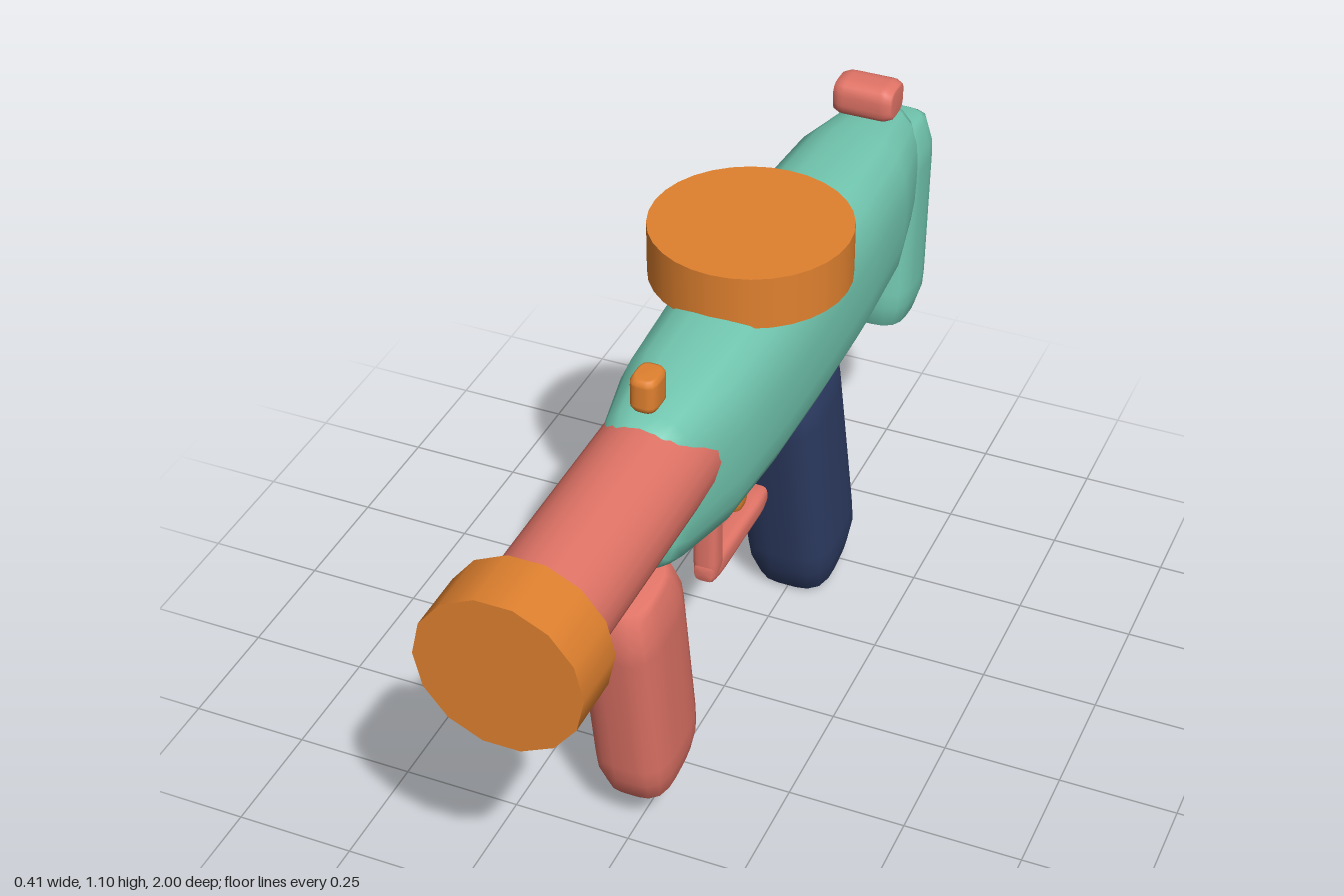
import * as THREE from 'three';

const material = (name, color) => {
  const m = new THREE.MeshStandardMaterial({ color });
  m.name = name;
  return m;
};

// Half of a lengthwise profile: [position, width scale, depth scale], end to middle
const BLOCK = [[1, 0.72, 0.7], [0.965, 0.83, 0.87], [0.76, 0.98, 0.99], [0.6, 1, 1]];
const BODY = [[1, 0.43, 0.7], [0.98, 0.57, 0.77], [0.93, 0.68, 0.83], [0.68, 0.91, 0.945], [0.35, 0.985, 0.99], [0, 1, 1]];

// Soft block along y: superellipse rings closed with end fans; w, h, d are half sizes
function softBlock(w, h, d, half = BLOCK, power = 3.5, sides = 24) {
  const mirrored = half.filter(r => r[0] > 0).reverse().map(([t, a, b]) => [-t, a, b]);
  const rings = [...half, ...mirrored].reverse();
  const pos = [], index = [];
  for (const [t, a, b] of rings) {
    for (let i = 0; i < sides; i++) {
      const u = (i / sides) * Math.PI * 2;
      const c = Math.cos(u), s = Math.sin(u);
      const r = Math.pow(Math.abs(c) ** power + Math.abs(s) ** power, -1 / power);
      pos.push(w * a * c * r, h * t, d * b * s * r);
    }
  }
  const last = (rings.length - 1) * sides;
  const bottom = pos.length / 3, top = bottom + 1;
  pos.push(0, -h, 0, 0, h, 0);
  for (let i = 0; i < sides; i++) {
    const j = (i + 1) % sides;
    for (let k = 0; k < last; k += sides) {
      index.push(k + i, k + sides + i, k + j, k + j, k + sides + i, k + sides + j);
    }
    index.push(bottom, i, j, top, last + j, last + i);
  }
  const g = new THREE.BufferGeometry();
  g.setAttribute('position', new THREE.Float32BufferAttribute(pos, 3));
  g.setIndex(index);
  g.computeVertexNormals();
  return g;
}

export function createModel() {
  const model = new THREE.Group();
  model.name = 'toyBlaster';
  const teal = material('teal', 0x72c7b0);
  const coral = material('coral', 0xe27467);
  const orange = material('orange', 0xe0812f);
  const navy = material('navy', 0x2f3e66);

  const add = (name, geometry, mat, y, z, tilt = 0) => {
    const mesh = new THREE.Mesh(geometry, mat);
    mesh.name = name;
    mesh.position.set(0, y, z);
    mesh.rotation.x = THREE.MathUtils.degToRad(tilt);
    model.add(mesh);
  };

  // Main body, its ends leaning slightly backward
  const body = softBlock(0.148, 0.654, 0.197, BODY, 3).rotateX(Math.PI / 2);
  const p = body.attributes.position;
  for (let i = 0; i < p.count; i++) p.setZ(i, p.getZ(i) - 0.1 * p.getY(i));
  body.computeVertexNormals();
  add('body', body, teal, 0.815, -0.226);
  add('shoulderStock', softBlock(0.096, 0.243, 0.095), teal, 0.672, -0.897, -3);

  // Barrel and muzzle cap
  add('barrel', new THREE.CylinderGeometry(0.118, 0.118, 0.75, 24), coral, 0.848, 0.505, 90);
  const cap = new THREE.CylinderGeometry(0.164, 0.164, 0.13, 14).rotateY(Math.PI / 2);
  add('muzzleCap', cap, orange, 0.847, 0.935, 90);

  // Drum on top
  add('topDrum', new THREE.CylinderGeometry(0.204, 0.204, 0.112, 32), orange, 1.046, -0.133);

  // Grips
  add('frontGrip', softBlock(0.083, 0.268, 0.112), coral, 0.382, 0.427, 9);
  add('rearGrip', softBlock(0.102, 0.334, 0.121), navy, 0.35, -0.386, 13.5);

  // Sights
  add('frontSight', softBlock(0.028, 0.036, 0.036), orange, 1.031, 0.36);
  add('rearSight', softBlock(0.04, 0.067, 0.046).rotateZ(Math.PI / 2), coral, 1.035, -0.785);

  // Trigger and its guard
  add('trigger', softBlock(0.027, 0.075, 0.027), orange, 0.54, -0.045);
  add('guardPost', softBlock(0.027, 0.118, 0.026), coral, 0.497, 0.085);
  add('guardBar', softBlock(0.027, 0.148, 0.026), coral, 0.4, -0.037, 90);

  return model;
}
